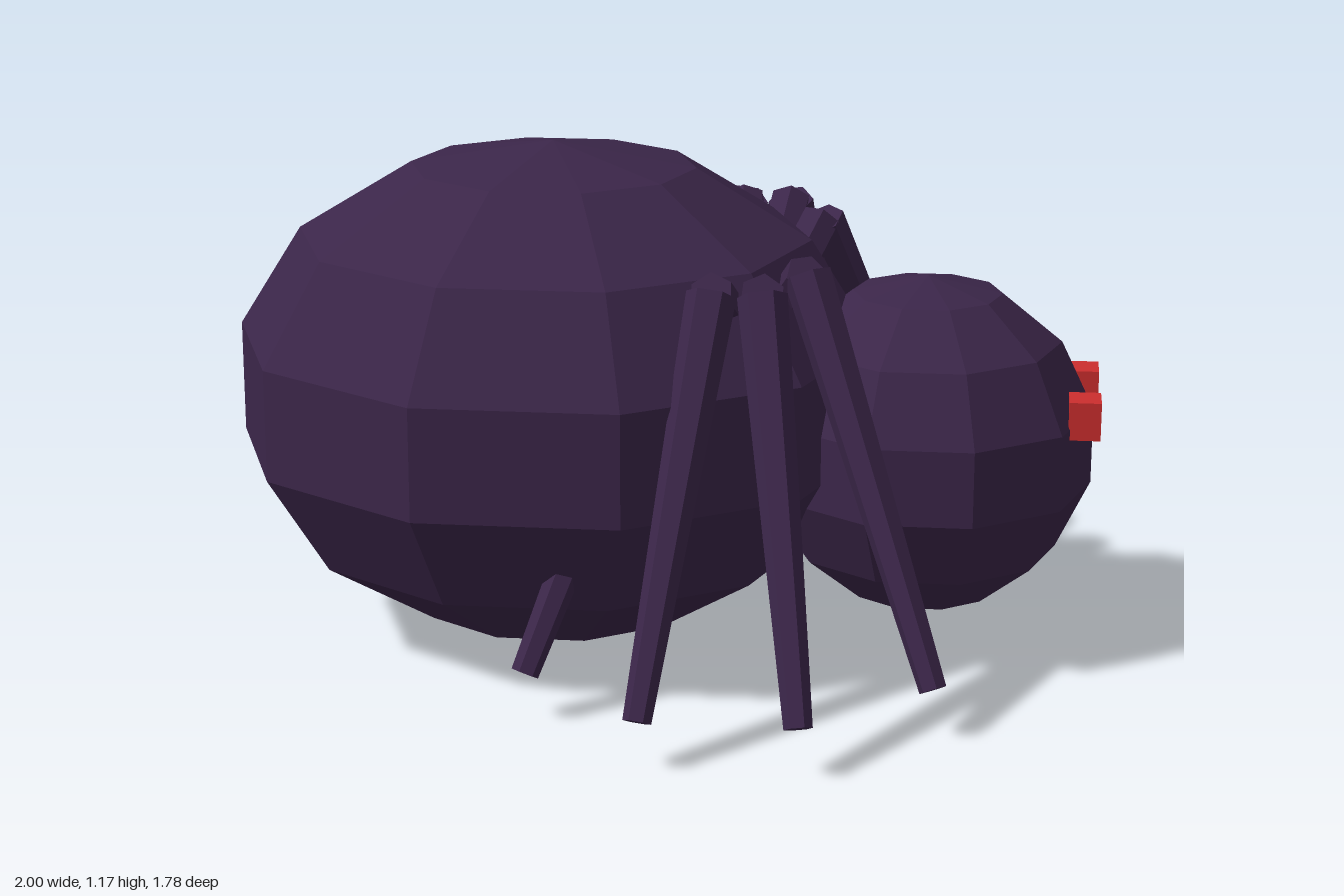
import * as THREE from 'three';

const makeMaterial = (name, color) => {
  const m = new THREE.MeshStandardMaterial({ color, flatShading: true });
  m.name = name;
  return m;
};

export function createModel() {
  const shell = makeMaterial('dark purple shell', 0x3b2649);
  const eyeRed = makeMaterial('eye red', 0xcc2e2e);
  const markRed = makeMaterial('mark dark red', 0x852323);

  const model = new THREE.Group();
  model.name = 'spider';

  const add = (parent, name, geometry, material) => {
    const mesh = new THREE.Mesh(geometry, material);
    mesh.name = name;
    parent.add(mesh);
    return mesh;
  };

  // Faceted body ball, 10 segments around and 7 high
  const ball = (rx, ry, rz) => new THREE.SphereGeometry(1, 10, 7).scale(rx, ry, rz);

  // Abdomen, with a single facet of the second row painted as the mark
  const abdomenGeometry = ball(0.76, 0.583, 0.685);
  const markStart = 84;
  abdomenGeometry.addGroup(0, markStart, 0);
  abdomenGeometry.addGroup(markStart, 6, 1);
  abdomenGeometry.addGroup(markStart + 6, abdomenGeometry.index.count - markStart - 6, 0);
  add(model, 'abdomen', abdomenGeometry, [shell, markRed]).position.set(-0.26, 0.586, 0);

  // Head
  add(model, 'head', ball(0.395, 0.395, 0.39), shell).position.set(0.6, 0.48, 0);

  // Tapered six-sided limb between two points
  const limb = (parent, name, from, to, r0, r1) => {
    const dir = to.clone().sub(from);
    const mesh = add(parent, name, new THREE.CylinderGeometry(r1, r0, dir.length(), 6), shell);
    mesh.position.copy(from).add(to).multiplyScalar(0.5);
    mesh.quaternion.setFromUnitVectors(new THREE.Vector3(0, 1, 0), dir.normalize());
  };

  // Knee and foot offsets from the hip line: [knee x, knee z, foot x, foot z]
  const hipX = 0.2;
  const legShapes = [
    [0.14, 0.26, 0.445, 0.62],
    [0.055, 0.445, 0.17, 0.865],
  ];
  for (const side of [1, -1]) {
    // Eye
    const eye = add(model, side > 0 ? 'leftEye' : 'rightEye',
      new THREE.BoxGeometry(0.072, 0.088, 0.086), eyeRed);
    eye.position.set(0.962, 0.588, side * 0.127);

    // Four legs per side, mirrored front to back about the hip
    for (const end of [1, -1]) {
      legShapes.forEach(([kneeX, kneeZ, footX, footZ], i) => {
        const leg = new THREE.Group();
        leg.name = `${side > 0 ? 'near' : 'far'}${end > 0 ? 'Front' : 'Rear'}Leg${i + 1}`;
        const hip = new THREE.Vector3(hipX, 0.68, 0);
        const knee = new THREE.Vector3(hipX + end * kneeX, 0.935, side * kneeZ);
        const foot = new THREE.Vector3(hipX + end * footX, 0.112, side * footZ);
        limb(leg, 'upperLeg', hip, knee, 0.05, 0.05);
        limb(leg, 'lowerLeg', knee, foot, 0.055, 0.031);
        model.add(leg);
      });
    }
  }
  return model;
}
